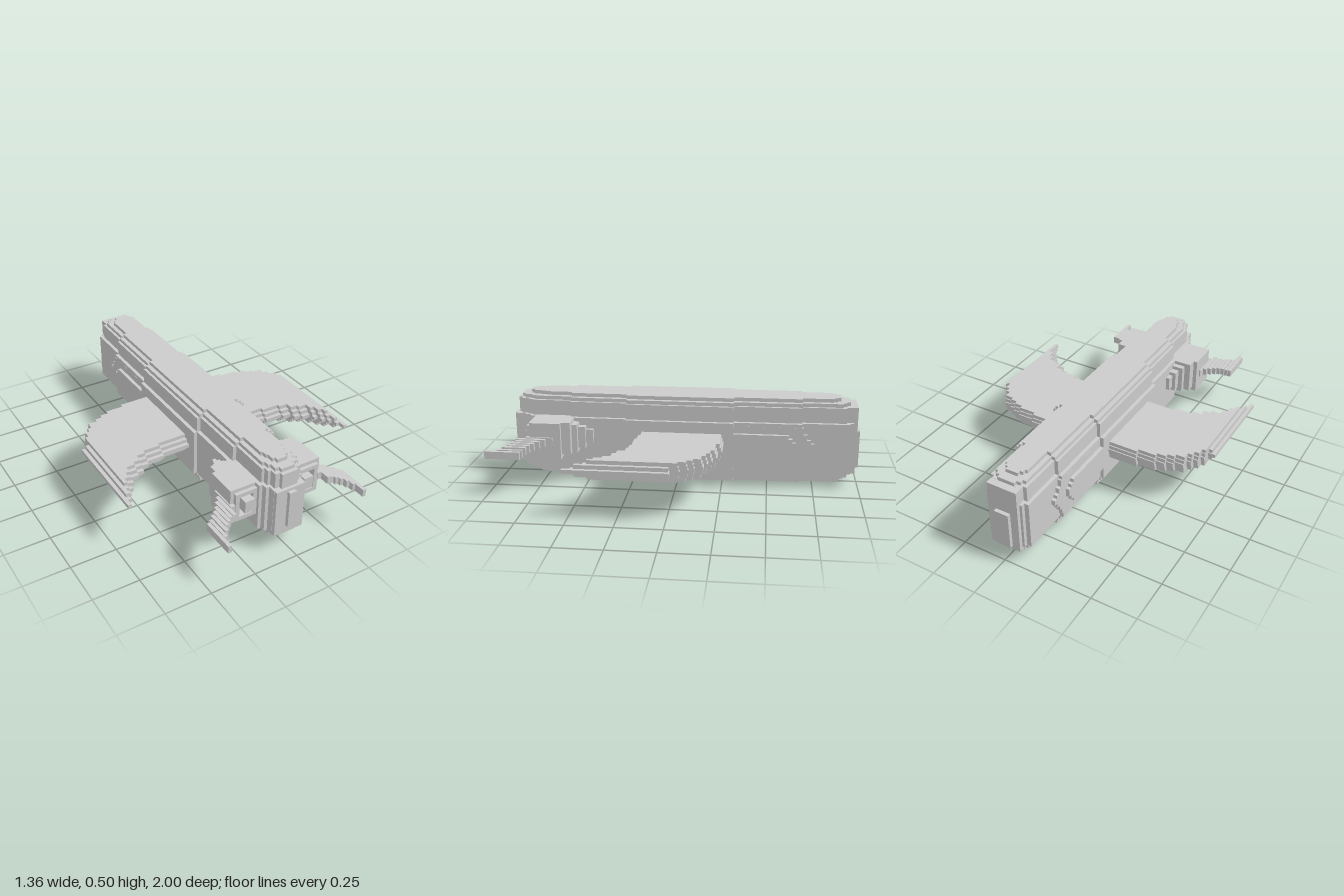
import * as THREE from 'three';

const V = 2 / 97; // one block of the stepped grid
const mat = new THREE.MeshStandardMaterial({ color: 0xcccccc, flatShading: true });

// Box from its min and max corners
function box(parent, name, x0, x1, y0, y1, z0, z1) {
  const m = new THREE.Mesh(new THREE.BoxGeometry(x1 - x0, y1 - y0, z1 - z0), mat);
  m.position.set((x0 + x1) / 2, (y0 + y1) / 2, (z0 + z1) / 2);
  m.name = name;
  parent.add(m);
}

// Horizontal slab from an outline of [x, z] points
function slab(parent, name, pts, y0, y1) {
  const shape = new THREE.Shape(pts.map(([x, z]) => new THREE.Vector2(x, -z)));
  const g = new THREE.ExtrudeGeometry(shape, { depth: y1 - y0, bevelEnabled: false });
  g.rotateX(-Math.PI / 2);
  g.translate(0, y0, 0);
  const m = new THREE.Mesh(g, mat);
  m.name = name;
  parent.add(m);
}

// Hull: layers of [y0, y1, half width, back z, front z]
const LAYERS = [
  [0, 0.02, 0.062, -0.90, 0.80],
  [0.02, 0.04, 0.085, -0.91, 0.82],
  [0.04, 0.06, 0.124, -0.94, 0.85],
  [0.06, 0.08, 0.130, -0.96, 0.88],
  [0.08, 0.10, 0.145, -0.98, 0.90],
  [0.10, 0.37, 0.165, -0.98, 0.915],
  [0.37, 0.455, 0.145, -0.96, 0.90],
  [0.455, 0.475, 0.130, -0.94, 0.88],
  [0.475, 0.495, 0.105, -0.89, 0.83],
];

function hull() {
  const g = new THREE.Group();
  g.name = 'hull';
  for (const [y0, y1, hw, zb, zf] of LAYERS) {
    // stepped half plan: [z start, z end, half width]
    const steps = [
      [zb, zb + V, 0.55 * (hw - 2 * V)],
      [zb + V, zb + 2 * V, 0.8 * (hw - 2 * V)],
      [zb + 2 * V, -0.68, hw - 2 * V],
      [-0.68, -0.31, hw - V],
      [-0.31, 0.28, hw],
      [0.28, 0.59, hw - V],
      [0.59, zf - 0.09, hw - 2 * V],
      [zf - 0.09, zf - 0.06, 0.85 * (hw - 2 * V)],
      [zf - 0.06, zf - V, 0.7 * (hw - 2 * V)],
      [zf - V, zf, 0.45 * (hw - 2 * V)],
    ];
    const right = steps.flatMap(([a, b, w]) => [[w, a], [w, b]]);
    const left = right.map(([x, z]) => [-x, z]).reverse();
    slab(g, 'hullLayer', [...left, ...right].reverse(), y0, y1);
  }
  // End plates
  box(g, 'frontPlate', -V, V, 0.145, 0.355, 0.90, 0.935);
  box(g, 'frontBlock', -0.085, 0.085, 0.10, 0.37, 0.85, 0.915);
  box(g, 'backPlate', -2 * V, 2 * V, 0.10, 0.31, -1, -0.95);
  box(g, 'backBlock', -0.085, 0.085, 0.08, 0.455, -0.98, -0.94);
  return g;
}

// Raised side plating that ends in a stepped arrow: [back z, y0, y1, outer x]
const PLATES = [
  [-0.61, 0.17, 0.31, 0.165], [-0.63, 0.19, 0.29, 0.165], [-0.65, 0.22, 0.27, 0.165],
  [-0.69, 0.13, 0.35, 0.145], [-0.71, 0.17, 0.31, 0.145], [-0.73, 0.20, 0.28, 0.145],
  [-0.75, 0.23, 0.26, 0.145],
];

// Wing columns: [outer x, leading z, trailing z]
const WING = [
  [0.33, -0.26, 0.23], [0.43, -0.24, 0.25], [0.48, -0.22, 0.27], [0.52, -0.20, 0.31],
  [0.57, -0.18, 0.33], [0.595, -0.14, 0.37], [0.62, -0.11, 0.41], [0.64, -0.07, 0.44],
  [0.66, -0.02, 0.48], [0.68, -0.02, 0.52],
];

function wing() {
  const g = new THREE.Group();
  g.name = 'wing';
  for (let i = -2; i <= 2; i++) {
    // layers shrink away from the middle one
    const d = Math.abs(i) * V;
    const cols = WING.filter(([x]) => x <= 0.685 - d);
    const lead = [], trail = [];
    let x0 = 0.12;
    for (const [x, a, b] of cols) {
      const a1 = a + d * 0.3, b1 = b - d;
      lead.push([x0, a1], [x, a1]);
      trail.push([x0, b1], [x, b1]);
      x0 = x;
    }
    const y = 0.257 + i * V;
    slab(g, 'wingLayer', [...trail, ...lead.reverse()], y - V / 2, y + V / 2);
  }
  return g;
}

// Engine pod: stepped rear, square shell and recessed nozzle
function pod() {
  const g = new THREE.Group();
  g.name = 'enginePod';
  box(g, 'podTail', 0.08, 0.165, 0.23, 0.31, 0.46, 0.51);
  box(g, 'podTail', 0.08, 0.185, 0.21, 0.33, 0.50, 0.55);
  box(g, 'podTail', 0.08, 0.21, 0.19, 0.35, 0.54, 0.59);
  box(g, 'podBody', 0.08, 0.245, 0.19, 0.37, 0.57, 0.63);
  box(g, 'podBody', 0.08, 0.267, 0.167, 0.37, 0.62, 0.75);
  const frame = (x0, x1, y0, y1, t, z0, z1) => {
    box(g, 'podFrame', x0, x1, y1 - t, y1, z0, z1);
    box(g, 'podFrame', x0, x1, y0, y0 + t, z0, z1);
    box(g, 'podFrame', x0, x0 + t, y0 + t, y1 - t, z0, z1);
    box(g, 'podFrame', x1 - t, x1, y0 + t, y1 - t, z0, z1);
  };
  frame(0.105, 0.267, 0.167, 0.37, 0.022, 0.75, 0.79);
  frame(0.125, 0.247, 0.187, 0.35, 0.022, 0.75, 0.81);
  box(g, 'nozzle', 0.15, 0.205, 0.235, 0.305, 0.74, 0.83);
  return g;
}

// Drooping swept fin: columns of [x0, x1, z0, z1, y]
const FIN = [
  [0.25, 0.275, 0.66, 0.81, 0.27], [0.275, 0.295, 0.70, 0.86, 0.265],
  [0.295, 0.315, 0.725, 0.86, 0.26], [0.315, 0.335, 0.75, 0.875, 0.255],
  [0.335, 0.355, 0.77, 0.89, 0.25], [0.355, 0.375, 0.785, 0.915, 0.245],
  [0.375, 0.392, 0.80, 0.94, 0.235], [0.392, 0.412, 0.81, 1.0, 0.23],
];

function fin() {
  const g = new THREE.Group();
  g.name = 'fin';
  for (const [x0, x1, z0, z1, y] of FIN) box(g, 'finStep', x0, x1, y - V, y + V, z0, z1);
  return g;
}

function sidePlates() {
  const g = new THREE.Group();
  g.name = 'sidePlating';
  for (const [z, y0, y1, x] of PLATES) box(g, 'sidePlate', 0.06, x, y0, y1, z, -0.30);
  return g;
}

// Half turn about z plus a flip in y equals a mirror in x, done on the vertices
function mirrored(group) {
  const copy = group.clone();
  copy.traverse((o) => {
    if (!o.isMesh) return;
    o.geometry = o.geometry.clone().toNonIndexed();
    o.geometry.scale(-1, 1, 1);
    o.position.x *= -1;
    const p = o.geometry.attributes.position;
    // swap two corners of each face to keep it facing outward
    for (let i = 0; i < p.count; i += 3) {
      const a = [p.getX(i), p.getY(i), p.getZ(i)];
      p.setXYZ(i, p.getX(i + 1), p.getY(i + 1), p.getZ(i + 1));
      p.setXYZ(i + 1, ...a);
    }
    o.geometry.computeVertexNormals();
  });
  return copy;
}

export function createModel() {
  const root = new THREE.Group();
  root.name = 'airship';
  root.add(hull());
  for (const part of [wing(), pod(), fin(), sidePlates()]) {
    const other = mirrored(part);
    other.name = 'right' + part.name[0].toUpperCase() + part.name.slice(1);
    part.name = 'left' + part.name[0].toUpperCase() + part.name.slice(1);
    root.add(part, other);
  }
  return root;
}
